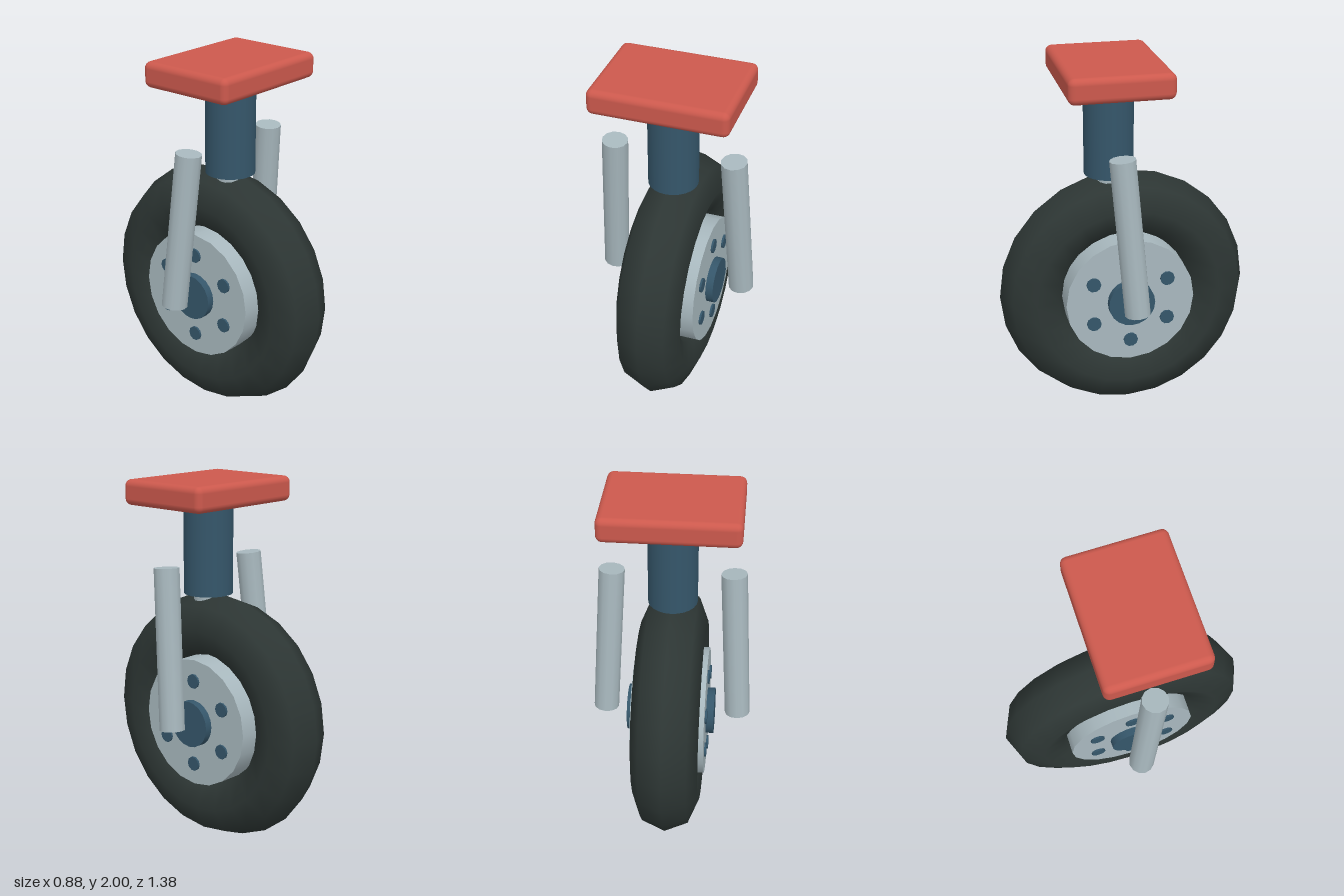
import * as THREE from 'three';
import { RoundedBoxGeometry } from 'three/addons/geometries/RoundedBoxGeometry.js';

const material = (name, color) => {
  const m = new THREE.MeshStandardMaterial({ color });
  m.name = name;
  return m;
};

export function createModel() {
  const red = material('red paint', 0xcc594d);
  const blue = material('blue steel', 0x35566a);
  const silver = material('silver metal', 0xa8b8be);
  const rubber = material('dark rubber', 0x2d3634);

  const model = new THREE.Group();
  model.name = 'casterWheel';

  const add = (parent, name, geometry, mat, x = 0, y = 0, z = 0) => {
    const mesh = new THREE.Mesh(geometry, mat);
    mesh.name = name;
    mesh.position.set(x, y, z);
    parent.add(mesh);
    return mesh;
  };
  // Cylinder lying along the wheel axle
  const axial = (radius, width, sides) =>
    new THREE.CylinderGeometry(radius, radius, width, sides).rotateZ(Math.PI / 2);

  // Wheel: tyre, rim disc, hub and a ring of bolts on each side
  const wheel = new THREE.Group();
  wheel.name = 'wheel';
  wheel.position.y = 0.692;
  model.add(wheel);
  add(wheel, 'tyre', new THREE.TorusGeometry(0.51, 0.18, 8, 24).rotateY(Math.PI / 2), rubber);
  add(wheel, 'rim', axial(0.355, 0.4, 20), silver);
  add(wheel, 'hub', axial(0.128, 0.484, 20), blue);
  for (const side of [-1, 1]) {
    for (let i = 0; i < 6; i++) {
      const a = (i / 6) * Math.PI * 2;
      add(wheel, 'bolt', axial(0.04, 0.04, 10), blue,
        side * 0.191, Math.cos(a) * 0.236, Math.sin(a) * 0.236);
    }
  }

  // Mounting plate, column and the piston running down into the wheel
  add(model, 'mountingPlate', new RoundedBoxGeometry(0.734, 0.136, 0.55, 3, 0.035), red, 0, 1.932, 0.075);
  add(model, 'column', new THREE.CylinderGeometry(0.134, 0.134, 0.515, 24), blue, 0, 1.632, 0.077);
  add(model, 'piston', new THREE.CylinderGeometry(0.08, 0.08, 0.25, 16), silver, 0, 1.3, 0.077);

  // Leaning struts beside the wheel
  for (const side of [-1, 1]) {
    const bottom = new THREE.Vector3(side * 0.37, 0.695, 0);
    const top = new THREE.Vector3(side * 0.325, 1.558, 0.073);
    const axis = top.clone().sub(bottom);
    const strut = add(model, side > 0 ? 'leftStrut' : 'rightStrut',
      new THREE.CylinderGeometry(0.07, 0.07, axis.length(), 12), silver);
    strut.position.copy(bottom).add(top).multiplyScalar(0.5);
    strut.quaternion.setFromUnitVectors(new THREE.Vector3(0, 1, 0), axis.normalize());
  }

  return model;
}
